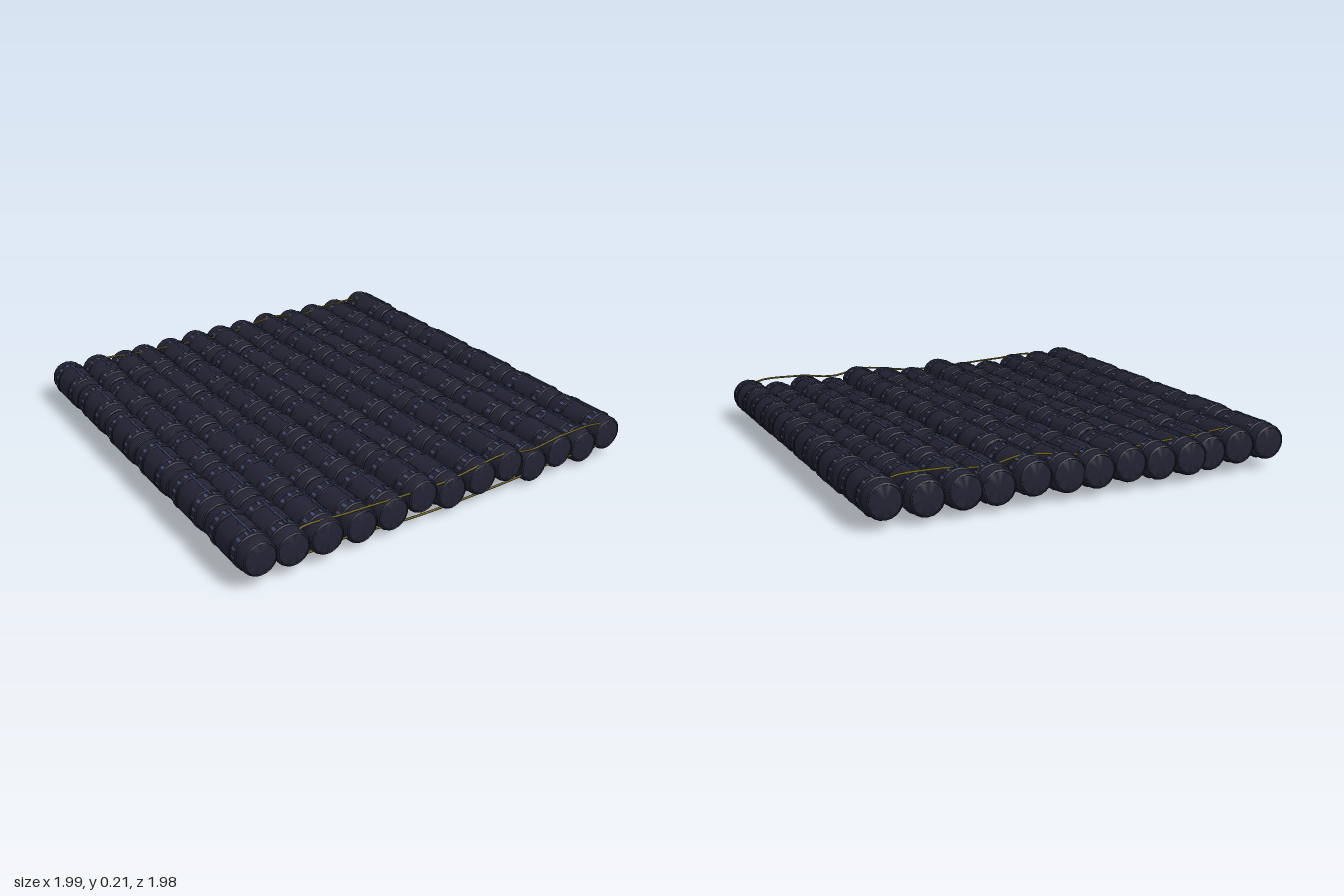
import * as THREE from 'three';
import { mergeGeometries, toCreasedNormals } from 'three/addons/utils/BufferGeometryUtils.js';

const mat = (name, color) => new THREE.MeshStandardMaterial({ name, color });

// Drum shell: chamfered ends, rim lips and a raised middle sleeve, along z
function drumGeometry() {
  const half = [[0.082, 0], [0.082, 0.055], [0.079, 0.058], [0.079, 0.066], [0.082, 0.069],
    [0.082, 0.102], [0.077, 0.106], [0.077, 0.146], [0.073, 0.157], [0.067, 0.161], [0.065, 0.158], [0, 0.158]];
  const pts = [...half.slice(1).reverse().map(([r, z]) => [r, -z]), ...half.slice(1)]
    .map(([r, z]) => new THREE.Vector2(r, z));
  return toCreasedNormals(new THREE.LatheGeometry(pts, 20).rotateX(Math.PI / 2), 0.6);
}

// Thin plates lying on the drum at a given angle from the top
function plate(width, length, angle, z, radius) {
  return new THREE.BoxGeometry(width, 0.004, length).translate(0, radius, z).rotateZ(angle);
}

function markGeometry() {
  const parts = [];
  for (const z of [-0.086, 0.086]) {
    for (let i = 0; i < 14; i++) {
      parts.push(plate(0.012, 0.028, (i + 0.5) / 14 * Math.PI * 2, z, 0.0815));
    }
  }
  return mergeGeometries(parts);
}

// Long seam along the top with a small cross tick
function seamGeometry() {
  return mergeGeometries([plate(0.007, 0.19, 0, 0, 0.083), plate(0.022, 0.006, 0, 0.01, 0.083)]);
}

export function createModel() {
  const model = new THREE.Group();
  model.name = 'drumRaft';
  const body = mat('dark navy shell', 0x222233);
  const blue = mat('slate blue marks', 0x3f4a6c);
  const ropeMat = mat('olive yellow rope', 0x6e6020);

  const drum = drumGeometry(), marks = markGeometry(), seam = seamGeometry();

  // Column centres at the front and back ends, and heights at the front
  const frontX = [-0.915, -0.77, -0.615, -0.44, -0.287, -0.138, 0.015, 0.178, 0.328, 0.47, 0.62, 0.768, 0.91];
  const backX = [-0.87, -0.715, -0.567, -0.455, -0.305, -0.157, -0.008, 0.128, 0.28, 0.44, 0.58, 0.737, 0.907];
  const frontY = [0.14, 0.13, 0.125, 0.105, 0.11, 0.143, 0.11, 0.125, 0.143, 0.096, 0.12, 0.1, 0.125];
  const rows = 6, pitch = 0.327;

  frontX.forEach((fx, c) => {
    const column = new THREE.Group();
    column.name = `drumColumn${c + 1}`;
    const shift = c < 3 ? 0.01 : -0.008;
    const yaw = Math.atan((fx - backX[c]) / 1.95);
    for (let r = 0; r < rows; r++) {
      const z = (r - 2.5) * pitch + shift;
      const t = (z + 0.98) / 1.96;
      const backY = 0.12 + (frontY[c] - 0.12) * 0.4;
      const unit = new THREE.Group();
      unit.name = 'drum';
      const wobble = 0.005 * Math.sin(c * 2.3 + r * 1.9);
      unit.position.set(backX[c] + (fx - backX[c]) * t, backY + (frontY[c] - backY) * t + wobble * (1 - t), z);
      unit.rotation.y = yaw;
      unit.rotation.z = 0.2 * Math.sin(c * 1.7 + 1) - 0.15;
      const add = (name, geometry, material) => {
        const m = new THREE.Mesh(geometry, material);
        m.name = name;
        unit.add(m);
      };
      add('drumShell', drum, body);
      add('gripMarks', marks, blue);
      add('topSeam', seam, blue);
      column.add(unit);
    }
    model.add(column);
  });

  // Lashing loops threaded round the columns near both ends
  const loop = [[-0.75, 0.185], [-0.5, 0.187], [-0.25, 0.176], [0.0, 0.172], [0.3, 0.205], [0.45, 0.178],
    [0.65, 0.196], [0.88, 0.175], [0.88, 0.09], [0.6, 0.075], [0.3, 0.06], [-0.15, 0.055], [-0.5, 0.078], [-0.75, 0.09]];
  for (const [name, z] of [['frontRope', 0.96], ['backRope', -0.9]]) {
    const curve = new THREE.CatmullRomCurve3(loop.map(([x, y]) => new THREE.Vector3(x, y, z)), true);
    const rope = new THREE.Mesh(new THREE.TubeGeometry(curve, 90, 0.005, 6, true), ropeMat);
    rope.name = name;
    model.add(rope);
  }
  return model;
}
